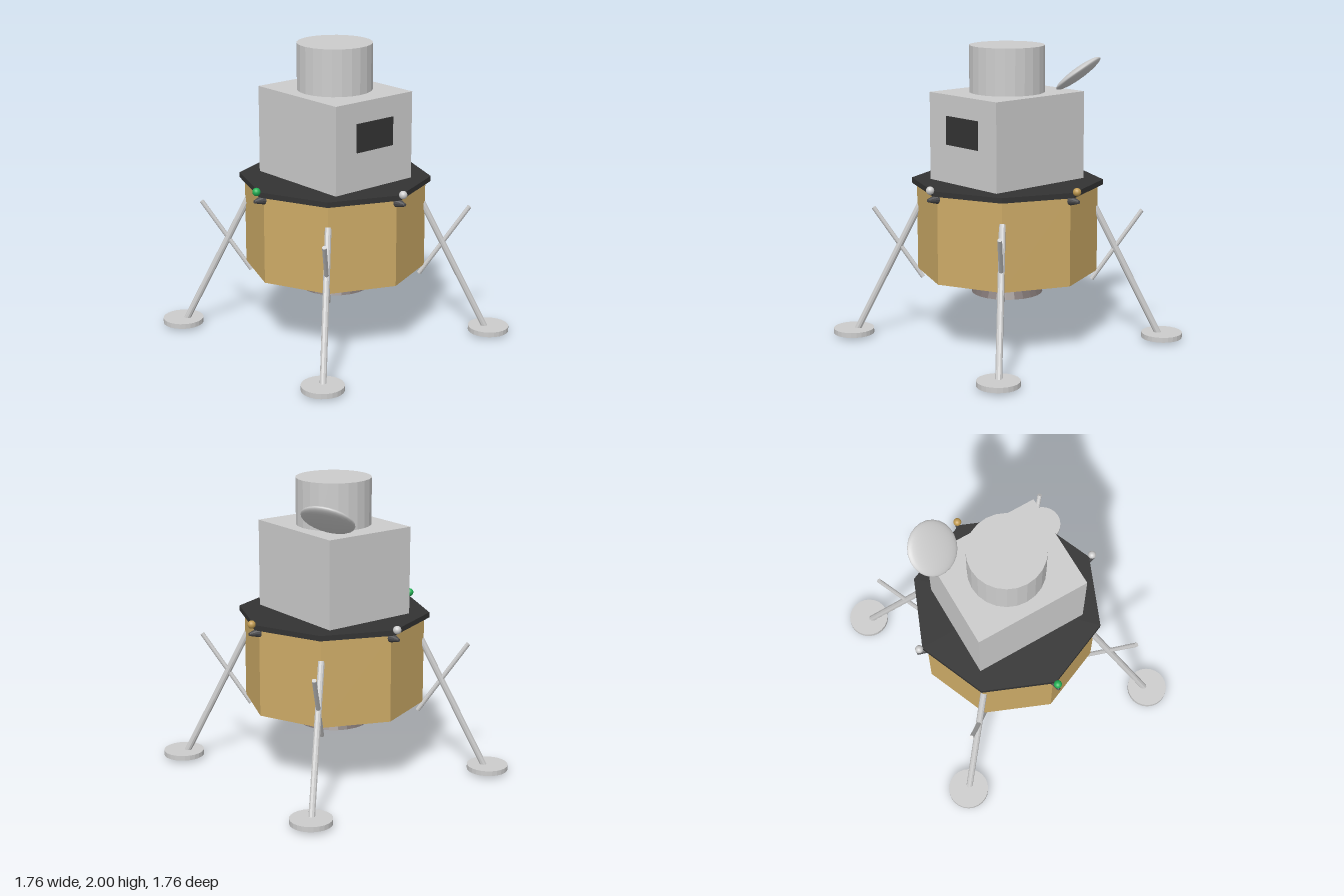
import * as THREE from 'three';

const mat = (name, color, flat = true) => {
  const m = new THREE.MeshStandardMaterial({ color, flatShading: flat });
  m.name = name;
  return m;
};

export function createModel() {
  const model = new THREE.Group();
  model.name = 'landerCraft';
  const grey = mat('lightGrey', 0xcccccc);
  const gold = mat('goldFoil', 0xccaa66);
  const dark = mat('darkPanel', 0x333333);
  const metal = mat('nozzleMetal', 0x7a706e);
  const cone = mat('thrusterGrey', 0x4a4a4c);
  const green = mat('greenLamp', 0x22b055, false);
  const amber = mat('amberLamp', 0xc09a50, false);
  const white = mat('whiteLamp', 0xcccccc, false);

  const add = (name, geometry, material, x = 0, y = 0, z = 0, parent = model) => {
    const mesh = new THREE.Mesh(geometry, material);
    mesh.name = name;
    mesh.position.set(x, y, z);
    parent.add(mesh);
    return mesh;
  };
  // Round bar between two points
  const bar = (name, a, b, r, parent) => {
    const p = new THREE.Vector3(...a), q = new THREE.Vector3(...b);
    const dir = q.clone().sub(p);
    const mesh = add(name, new THREE.CylinderGeometry(r, r, dir.length(), 10), grey, 0, 0, 0, parent);
    mesh.position.copy(p).add(q).multiplyScalar(0.5);
    mesh.quaternion.setFromUnitVectors(new THREE.Vector3(0, 1, 0), dir.normalize());
  };

  // Descent stage
  add('descentBody', new THREE.CylinderGeometry(0.605, 0.605, 0.59, 8), gold, 0, 0.775, 0);
  add('deck', new THREE.CylinderGeometry(0.64, 0.64, 0.035, 8), dark, 0, 1.0875, 0);
  add('engineNozzle', new THREE.CylinderGeometry(0.16, 0.24, 0.16, 24), metal, 0, 0.41, 0);

  // Ascent stage
  add('cabin', new THREE.BoxGeometry(0.78, 0.585, 0.66), grey, 0, 1.3975, 0);
  add('dockingDrum', new THREE.CylinderGeometry(0.25, 0.25, 0.31, 24), grey, 0, 1.845, 0);
  add('window', new THREE.BoxGeometry(0.009, 0.19, 0.31), dark, 0.3945, 1.455, 0);

  // Dish: a flattened ball tilted forwards
  const dish = add('dishAntenna', new THREE.SphereGeometry(0.178, 24, 16), white, -0.35, 1.81, -0.313);
  dish.scale.y = 0.2;
  dish.rotation.set(0.6, 0, -0.3);

  // Four diagonal legs
  for (const sx of [-1, 1]) for (const sz of [-1, 1]) {
    const leg = new THREE.Group();
    leg.name = 'leg';
    model.add(leg);
    const at = (d, y) => [sx * d, y, sz * d];
    bar('mainStrut', at(0.415, 0.922), at(0.738, 0.01), 0.022, leg);
    bar('braceStrut', at(0.638, 0.898), at(0.405, 0.418), 0.015, leg);
    add('footPad', new THREE.CylinderGeometry(0.138, 0.138, 0.034, 24), grey, sx * 0.744, 0.034, sz * 0.744, leg);
  }

  // Lamp and thruster on each side, starting at the front
  [green, white, amber, white].forEach((lamp, i) => {
    const side = new THREE.Group();
    side.name = 'sideFittings';
    side.rotation.y = i * Math.PI / 2;
    model.add(side);
    add('lamp', new THREE.SphereGeometry(0.027, 16, 12), lamp, 0, 1.113, 0.663, side);
    const thruster = add('thruster', new THREE.CylinderGeometry(0.01, 0.032, 0.075, 12), cone, 0, 1.05, 0.645, side);
    thruster.rotation.x = Math.PI / 2;
  });
  return model;
}
